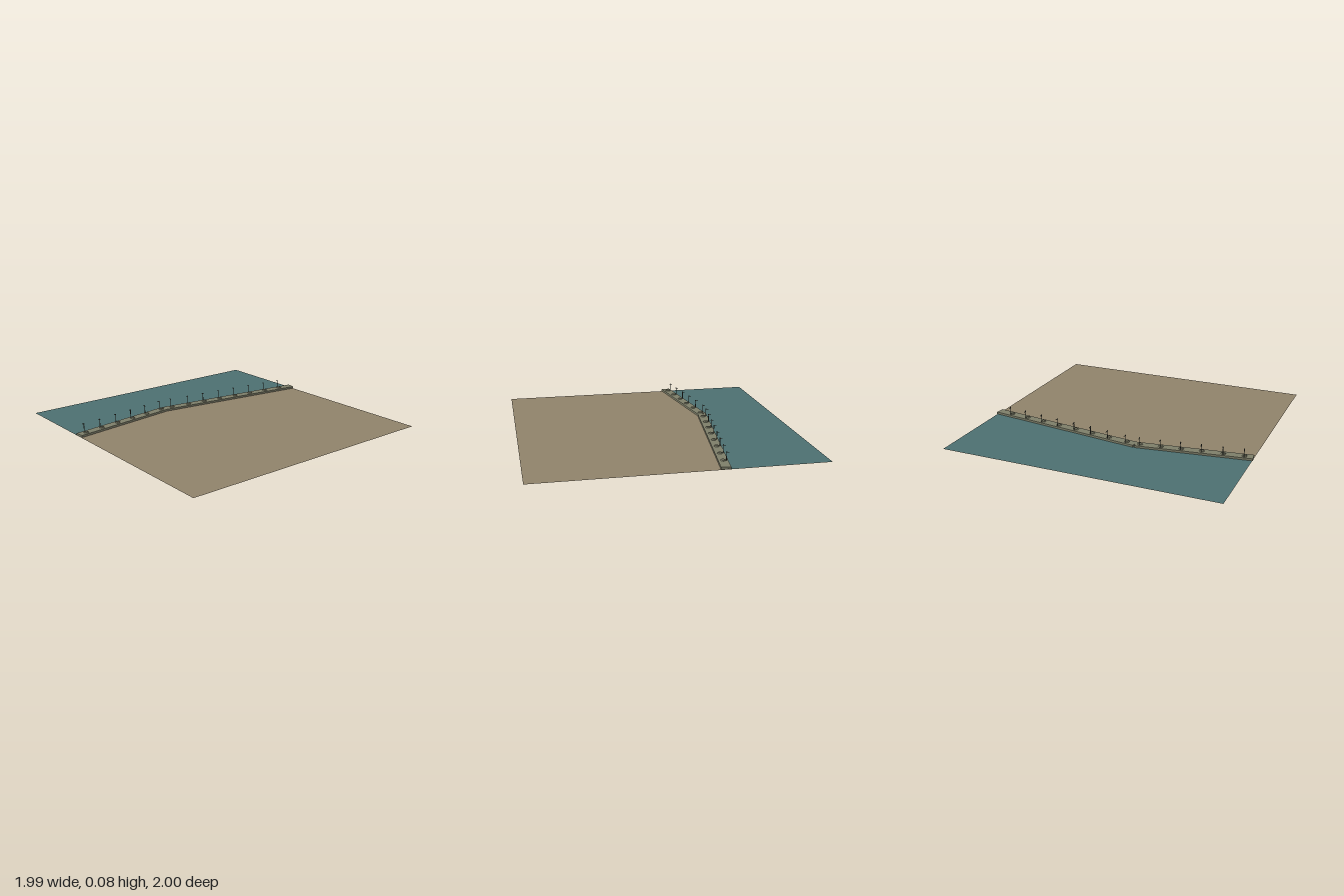
import * as THREE from 'three';

const mat = (color) => new THREE.MeshStandardMaterial({ color, flatShading: true, side: THREE.DoubleSide });

// Promenade centreline as [x, z]: back end, bend, front end
const PATH = [[-0.275, -0.995], [-0.436, 0.19], [-0.325, 0.995]];
const HALF = 0.994, WIDTH = 0.066, DECK_BOTTOM = 0.003, DECK_TOP = 0.018;

export function createModel() {
  const root = new THREE.Group();
  const sandMat = mat(0x8f826a), waterMat = mat(0x4c6f70), stoneMat = mat(0x7d7e69), metalMat = mat(0x4a4d44);

  const add = (parent, name, geometry, material, x = 0, y = 0, z = 0) => {
    const mesh = new THREE.Mesh(geometry, material);
    mesh.name = name;
    mesh.position.set(x, y, z);
    parent.add(mesh);
    return mesh;
  };

  // Sand sheet under everything
  add(root, 'sand', new THREE.PlaneGeometry(2 * HALF, 2 * HALF).rotateX(-Math.PI / 2), sandMat);

  // Water sheet from the left edge to the promenade centreline
  const shore = new THREE.Shape();
  shore.moveTo(-HALF, -HALF);
  shore.lineTo(PATH[2][0], -HALF);
  shore.lineTo(PATH[1][0], -PATH[1][1]);
  shore.lineTo(PATH[0][0], HALF);
  shore.lineTo(-HALF, HALF);
  add(root, 'water', new THREE.ShapeGeometry(shore).rotateX(-Math.PI / 2), waterMat, 0, 0.002, 0);

  const bollardGeo = new THREE.CylinderGeometry(0.013, 0.019, 0.007, 8);
  const postGeo = new THREE.CylinderGeometry(0.0022, 0.003, 0.058, 6);
  const armGeo = new THREE.BoxGeometry(0.022, 0.003, 0.004);
  const lampGeo = new THREE.CylinderGeometry(0.003, 0.004, 0.008, 6);

  // z positions of the bollard and lamp pairs on each stretch
  const stations = [
    [-0.87, -0.73, -0.585, -0.445, -0.3, -0.16, -0.02, 0.125],
    [0.225, 0.37, 0.51, 0.65, 0.795, 0.935],
  ];

  stations.forEach((list, i) => {
    const [x0, z0] = PATH[i], [x1, z1] = PATH[i + 1];
    const length = Math.hypot(x1 - x0, z1 - z0);
    const angle = Math.atan2(x1 - x0, z1 - z0);

    // Raised stone walkway, local z running along the stretch
    const stretch = new THREE.Group();
    stretch.name = i ? 'frontStretch' : 'backStretch';
    stretch.position.set((x0 + x1) / 2, 0, (z0 + z1) / 2);
    stretch.rotation.y = angle;
    root.add(stretch);
    add(stretch, 'walkway', new THREE.BoxGeometry(WIDTH, DECK_TOP - DECK_BOTTOM, length), stoneMat,
      0, (DECK_TOP + DECK_BOTTOM) / 2, 0);

    for (const z of list) {
      const along = ((z - z0) / (z1 - z0) - 0.5) * length;
      const station = new THREE.Group();
      station.name = 'station';
      station.position.set(0, DECK_TOP, along);
      stretch.add(station);
      add(station, 'bollard', bollardGeo, stoneMat, 0, 0.0035, 0);
      // Lamp on the water side
      add(station, 'lampPost', postGeo, metalMat, -0.022, 0.029, 0);
      add(station, 'lampArm', armGeo, metalMat, -0.029, 0.054, 0);
      add(station, 'lampHead', lampGeo, metalMat, -0.022, 0.057, 0);
    }
  });

  return root;
}
